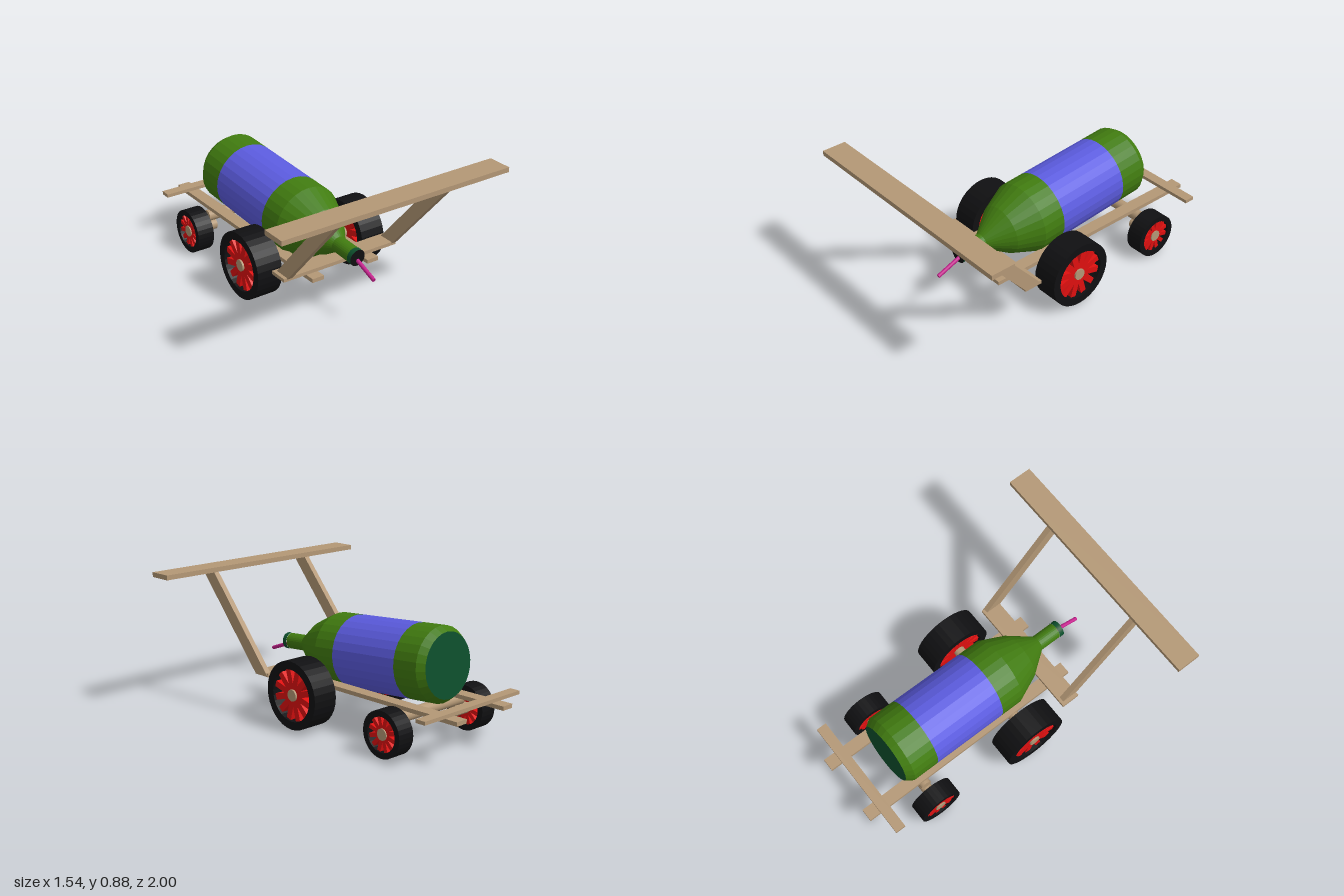
import * as THREE from 'three';

const UP = new THREE.Vector3(0, 1, 0);
const mat = (name, color, extra = {}) => {
  const m = new THREE.MeshStandardMaterial({ color, ...extra });
  m.name = name;
  return m;
};

export function createModel() {
  const model = new THREE.Group();
  model.name = 'bottleCart';
  const wood = mat('wood', 0xb49876);
  const green = mat('bottleGreen', 0x417c10, { flatShading: true });
  const teal = mat('darkGreen', 0x0d4f2c);
  const blue = mat('labelBlue', 0x5c5ce0, { flatShading: true });
  const red = mat('spokeRed', 0xe01010);
  const black = mat('tyreBlack', 0x101012, { flatShading: true });
  const pink = mat('wickPink', 0xc4208c);

  const add = (parent, name, geometry, material, x = 0, y = 0, z = 0) => {
    const mesh = new THREE.Mesh(geometry, material);
    mesh.name = name;
    mesh.position.set(x, y, z);
    parent.add(mesh);
    return mesh;
  };
  const box = (name, w, h, d, x, y, z) => add(model, name, new THREE.BoxGeometry(w, h, d), wood, x, y, z);
  const rod = (name, r, a, b, material) => {
    const from = new THREE.Vector3(...a), to = new THREE.Vector3(...b);
    const dir = to.clone().sub(from);
    const mesh = add(model, name, new THREE.CylinderGeometry(r, r, dir.length(), 20), material);
    mesh.position.copy(from).add(to).multiplyScalar(0.5);
    mesh.quaternion.setFromUnitVectors(UP, dir.normalize());
    return mesh;
  };
  const lathe = (points, sides) =>
    new THREE.LatheGeometry(points.map(p => new THREE.Vector2(...p)), sides);

  // Wooden frame: two rails and two crossbars
  for (const x of [-0.2, 0.195]) box('rail', 0.08, 0.025, 1.53, x, 0.256, -0.235);
  box('frontCrossbar', 0.81, 0.022, 0.12, 0.005, 0.284, 0.415);
  box('rearCrossbar', 0.81, 0.022, 0.066, 0.005, 0.284, -0.892);

  // Push handle: slanted uprights (sheared boxes) and a plank
  const slant = new THREE.Matrix4().set(1, 0, 0, 0, 0, 1, 0, 0, 0, 0.86, 1, 0, 0, 0, 0, 1);
  for (const x of [-0.36, 0.397]) {
    const upright = box('handleUpright', 0.035, 0.575, 0.11, x, 0.567, 0.662);
    upright.geometry.applyMatrix4(slant);
  }
  box('handlePlank', 1.54, 0.03, 0.15, 0, 0.866, 0.925);

  // Wheels: tyre ring, radial spokes, axle stub showing as the hub
  const wheel = (name, side, x, y, z, r, rim, width) => {
    const group = new THREE.Group();
    group.name = name;
    group.position.set(side * x, y, z);
    group.rotation.z = -side * Math.PI / 2;
    model.add(group);
    const h = width / 2;
    add(group, 'tyre', lathe([[rim, -h], [r, -h], [r, h], [rim, h], [rim, -h]], 32), black);
    const count = 12;
    for (let i = 0; i < count; i++) {
      const a = (i + 0.5) / count * Math.PI * 2;
      const mid = rim / 2 + 0.012;
      const spoke = add(group, 'spoke', new THREE.BoxGeometry(rim - 0.02, width * 0.8, rim * 0.24), red,
        Math.cos(a) * mid, 0, -Math.sin(a) * mid);
      spoke.rotation.y = a;
    }
  };
  for (const s of [-1, 1]) {
    wheel('frontWheel', s, 0.377, 0.225, 0.092, 0.21, 0.16, 0.166);
    wheel('rearWheel', s, 0.353, 0.141, -0.6, 0.14, 0.105, 0.112);
    rod('frontAxle', 0.036, [s * 0.16, 0.225, 0.092], [s * 0.455, 0.225, 0.092], wood);
    rod('rearAxle', 0.035, [s * 0.205, 0.141, -0.6], [s * 0.405, 0.141, -0.6], wood);
  }
  rod('rearAxleBeam', 0.036, [-0.26, 0.21, -0.6], [0.26, 0.21, -0.6], wood);

  // Bottle lying on the frame, mouth forward, base slightly raised
  const bottle = new THREE.Group();
  bottle.name = 'bottle';
  bottle.position.set(-0.003, 0.38, 0.635);
  bottle.quaternion.setFromUnitVectors(UP, new THREE.Vector3(-0.015, 0.071, -1).normalize());
  model.add(bottle);
  const R = 0.226;
  const part = (name, points, material) => add(bottle, name, lathe(points, 28), material);
  part('mouth', [[0, 0], [0.052, 0]], black);
  part('neckRing', [[0.052, 0], [0.052, 0.032]], teal);
  part('shoulder', [[0.05, 0.032], [0.05, 0.175], [0.157, 0.325], [R, 0.485], [R, 0.635]], green);
  part('label', [[R, 0.635], [R, 1.13]], blue);
  part('lowerBody', [[R, 1.13], [R, 1.3], [0.195, 1.345]], green);
  part('base', [[0.195, 1.345], [0, 1.345]], teal);

  // Wick hanging out of the mouth
  rod('wick', 0.012, [0, 0.385, 0.57], [0, 0.304, 0.785], pink);
  return model;
}
